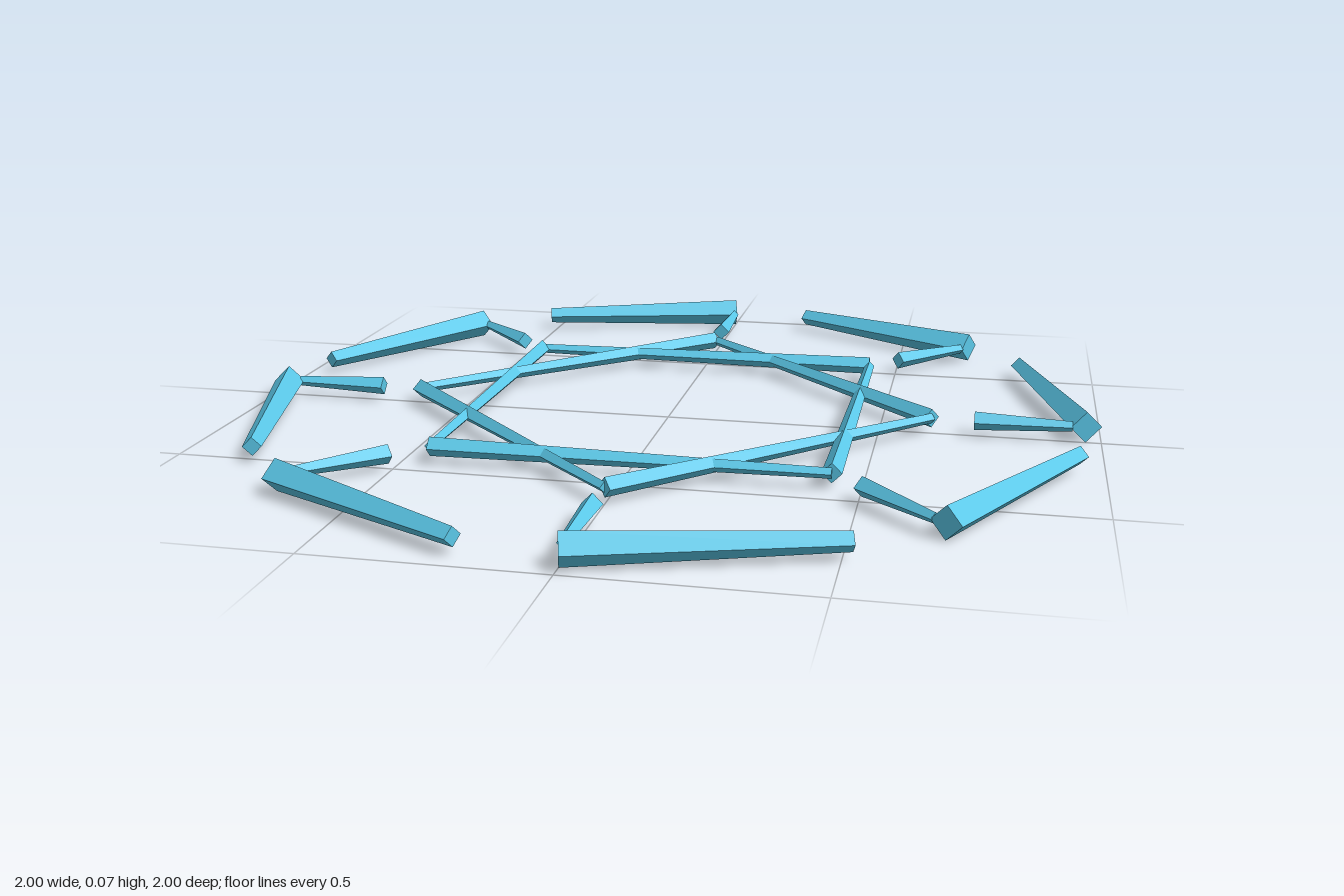
import * as THREE from 'three';

const material = new THREE.MeshStandardMaterial({ color: 0x5bc8e8, flatShading: true });
const HEIGHT = 0.036;

// Tapered four-sided bar lying flat with a ridge on top, from a to b given as [x, z]
function bar(name, a, b, radiusA, radiusB) {
  const dx = b[0] - a[0], dz = b[1] - a[1];
  const geometry = new THREE.CylinderGeometry(radiusB, radiusA, Math.hypot(dx, dz), 4);
  geometry.rotateZ(-Math.PI / 2);
  const mesh = new THREE.Mesh(geometry, material);
  mesh.name = name;
  mesh.position.set((a[0] + b[0]) / 2, HEIGHT, (a[1] + b[1]) / 2);
  mesh.rotation.y = Math.atan2(-dz, dx);
  return mesh;
}

export function createModel() {
  const model = new THREE.Group();
  model.name = 'starRing';

  for (let i = 0; i < 8; i++) {
    // One eighth of the ring: a slanted blade, a spoke and one side of a square
    const sector = new THREE.Group();
    sector.name = 'sector' + (i + 1);
    sector.rotation.y = -i * Math.PI / 4;
    sector.add(
      bar('outerBlade', [0, -0.965], [-0.52, -0.815], 0.036, 0.021),
      bar('spoke', [0, -0.716], [0, -0.935], 0.022, 0.012),
      bar('squareSide', [-0.438, -0.438], [0.438, -0.438], 0.012, 0.022)
    );
    model.add(sector);
  }
  return model;
}
